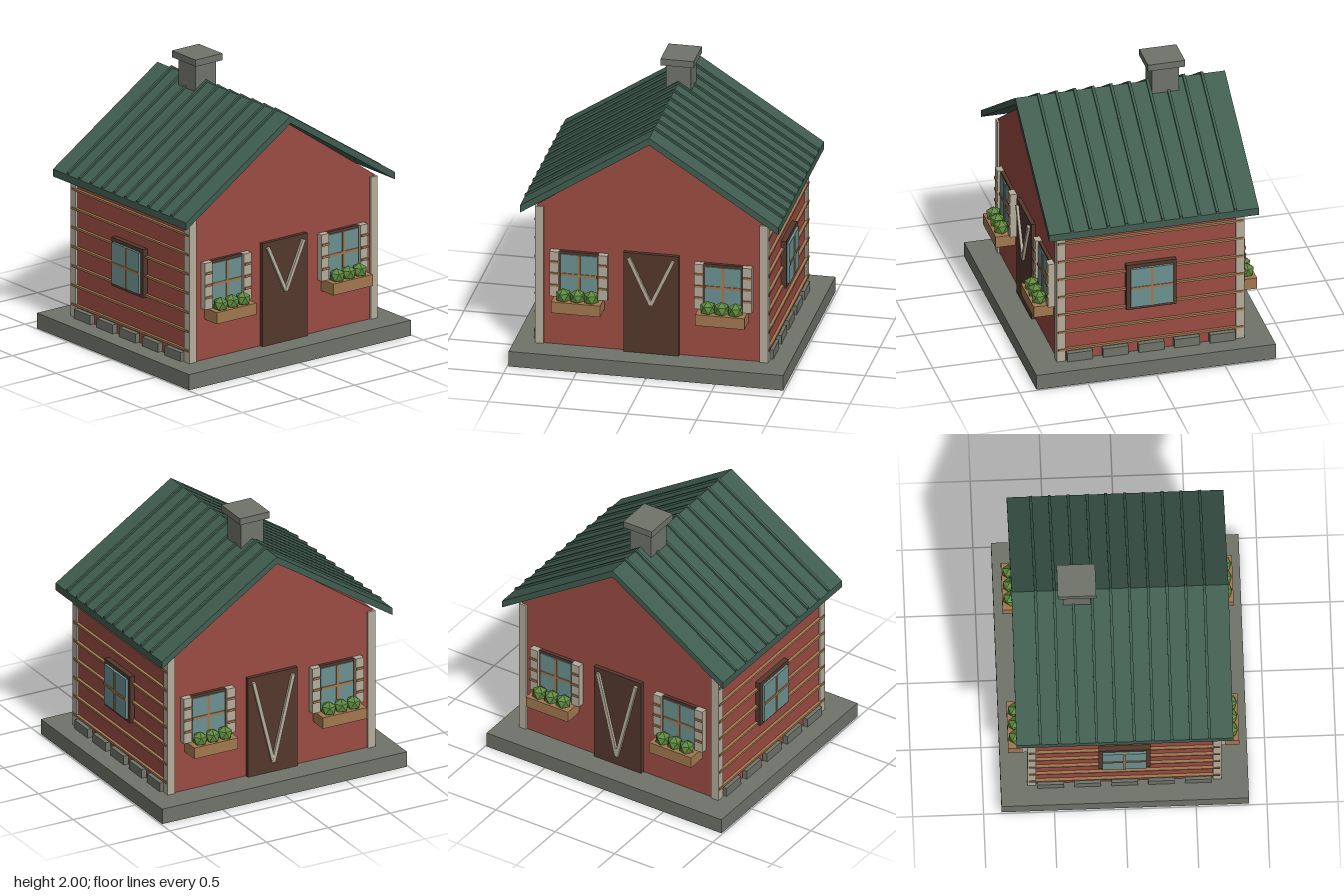
import * as THREE from 'three';

const mat = (name, color) => {
  const m = new THREE.MeshStandardMaterial({ color });
  m.name = name;
  return m;
};

export function createModel() {
  const stone = mat('stone grey', 0x70746a);
  const red = mat('barn red', 0x9c4c43);
  const green = mat('roof green', 0x405d50);
  const cream = mat('cream trim', 0xb6ae9c);
  const brown = mat('dark brown', 0x54382c);
  const wood = mat('tan wood', 0xa37850);
  const glass = mat('window glass', 0x6c9291);
  const leaf = mat('leaf green', 0x5f8a3f);
  leaf.flatShading = true;

  const model = new THREE.Group();
  model.name = 'cabin';

  const add = (parent, name, geometry, material) => {
    const mesh = new THREE.Mesh(geometry, material);
    mesh.name = name;
    parent.add(mesh);
    return mesh;
  };
  // Box given by its minimum and maximum on each axis
  const box = (parent, name, material, x0, x1, y0, y1, z0, z1) => {
    const mesh = add(parent, name, new THREE.BoxGeometry(x1 - x0, y1 - y0, z1 - z0), material);
    mesh.position.set((x0 + x1) / 2, (y0 + y1) / 2, (z0 + z1) / 2);
    return mesh;
  };
  // Outline in x and y, extruded evenly about z
  const prism = (parent, name, material, points, depth, z = 0) => {
    const shape = new THREE.Shape(points.map(([x, y]) => new THREE.Vector2(x, y)));
    const geometry = new THREE.ExtrudeGeometry(shape, { depth, bevelEnabled: false });
    geometry.translate(0, 0, z - depth / 2);
    return add(parent, name, geometry, material);
  };
  const group = (name, parent = model) => {
    const g = new THREE.Group();
    g.name = name;
    parent.add(g);
    return g;
  };

  // Base and gabled walls
  box(model, 'base', stone, -0.99, 0.99, 0, 0.115, -0.873, 0.873);
  prism(model, 'walls', red,
    [[-0.825, 0.115], [0.825, 0.115], [0.825, 1.18], [0, 1.75], [-0.825, 1.18]], 1.34);

  // Roof with raised ribs
  const chevron = (bottomEave, topEave, bottomRidge, topRidge) => [
    [-0.932, bottomEave], [0, bottomRidge], [0.932, bottomEave],
    [0.932, topEave], [0, topRidge], [-0.932, topEave],
  ];
  const roof = group('roof');
  prism(roof, 'roofPanels', green, chevron(1.146, 1.2, 1.752, 1.806), 1.53);
  for (let i = 0; i < 10; i++) {
    prism(roof, 'roofRib', green, chevron(1.195, 1.217, 1.801, 1.823), 0.02, (i - 4.5) * 0.1325);
  }

  // Chimney
  box(model, 'chimney', stone, -0.09, 0.09, 1.7, 1.95, -0.405, -0.21);
  box(model, 'chimneyCap', stone, -0.12, 0.12, 1.95, 2, -0.443, -0.172);

  // Corner posts
  for (const sx of [-1, 1]) for (const sz of [-1, 1]) {
    const post = box(model, 'cornerPost', cream, -0.03, 0.03, 0.115, 1.17, -0.031, 0.031);
    post.position.x = sx * 0.81;
    post.position.z = sz * 0.654;
  }

  // Window with shutters and a planted box, facing +z
  const flowerWindow = (parent, x) => {
    const w = group('flowerWindow', parent);
    w.position.x = x;
    box(w, 'windowFrame', brown, -0.145, 0.145, 0.49, 0.845, 0.66, 0.695);
    box(w, 'windowGlass', glass, -0.13, 0.13, 0.505, 0.825, 0.68, 0.702);
    box(w, 'verticalBar', wood, -0.01, 0.01, 0.505, 0.825, 0.69, 0.708);
    box(w, 'horizontalBar', wood, -0.13, 0.13, 0.66, 0.68, 0.69, 0.708);
    for (const s of [-1, 1]) {
      const cx = s * 0.175;
      box(w, 'shutter', cream, cx - 0.033, cx + 0.033, 0.5, 0.845, 0.66, 0.718);
      for (const y of [0.588, 0.678, 0.768]) {
        box(w, 'shutterSlat', wood, cx - 0.03, cx + 0.03, y - 0.008, y + 0.008, 0.71, 0.727);
      }
    }
    box(w, 'flowerBox', wood, -0.177, 0.177, 0.415, 0.5, 0.665, 0.815);
    for (let i = -1; i <= 1; i++) {
      const plant = add(w, 'plant', new THREE.IcosahedronGeometry(0.058, 0), leaf);
      plant.geometry.rotateZ(Math.atan(2 / (1 + Math.sqrt(5)))); // one corner straight up
      plant.position.set(i * 0.1, 0.53, 0.757);
    }
  };

  // Gable ends: door with a V brace, and two windows
  const gableEnd = (name, braceBottom) => {
    const g = group(name);
    box(g, 'door', brown, -0.2, 0.2, 0.115, 0.88, 0.66, 0.7);
    for (const s of [-1, 1]) {
      const dx = 0.16, dy = 0.845 - braceBottom;
      const brace = add(g, 'doorBrace',
        new THREE.BoxGeometry(0.026, Math.hypot(dx, dy), 0.024), cream);
      brace.position.set(s * dx / 2, (0.845 + braceBottom) / 2, s > 0 ? 0.708 : 0.707);
      brace.rotation.z = -s * Math.atan2(dx, dy);
    }
    for (const s of [-1, 1]) flowerWindow(g, s * 0.52);
    return g;
  };
  gableEnd('frontEnd', 0.495);
  gableEnd('backEnd', 0.195).rotation.y = Math.PI;

  // Long sides: battens, foundation stones and a window, built on +x
  const longSide = (name) => {
    const g = group(name);
    for (let i = 0; i < 7; i++) {
      const y = 0.207 + i * 0.1428;
      box(g, 'batten', wood, 0.815, 0.847, y - 0.008, y + 0.008, -0.675, 0.675);
    }
    for (let i = -2; i <= 2; i++) {
      box(g, 'foundationStone', stone, 0.81, 0.864, 0.118, 0.185, i * 0.26 - 0.093, i * 0.26 + 0.093);
    }
    box(g, 'windowFrame', brown, 0.82, 0.864, 0.475, 0.835, -0.183, 0.183);
    box(g, 'windowGlass', glass, 0.85, 0.882, 0.5, 0.807, -0.155, 0.155);
    box(g, 'verticalBar', wood, 0.86, 0.887, 0.5, 0.807, -0.009, 0.009);
    box(g, 'horizontalBar', wood, 0.86, 0.887, 0.645, 0.663, -0.155, 0.155);
    return g;
  };
  longSide('leftSide');
  longSide('rightSide').rotation.y = Math.PI;

  return model;
}
